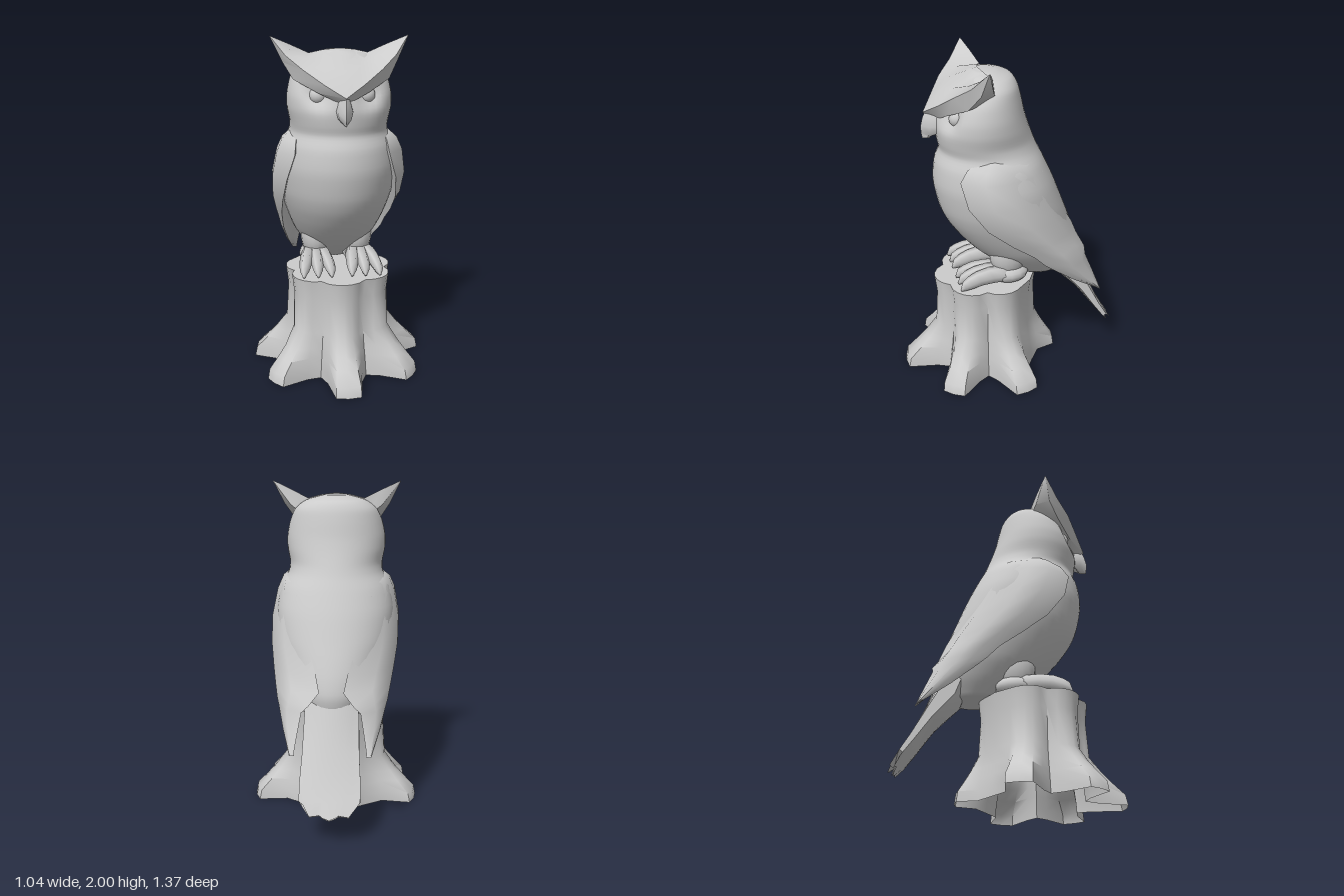
import * as THREE from 'three';
import { toCreasedNormals } from 'three/addons/utils/BufferGeometryUtils.js';

const material = new THREE.MeshStandardMaterial({ color: 0xcccccc, side: THREE.DoubleSide });

// Skin over a list of equal-length rings of [x, y, z]; faces always turn outward.
function loft(rings, { capStart = true, capEnd = true, crease = 0 } = {}) {
  const n = rings[0].length, pos = rings.flat(2), idx = [];
  for (let r = 0; r < rings.length - 1; r++) for (let i = 0; i < n; i++) {
    const a = r * n + i, b = r * n + (i + 1) % n;
    idx.push(a, b, b + n, a, b + n, a + n);
  }
  const cap = (r, flip) => {
    const c = pos.length / 3;
    for (let k = 0; k < 3; k++) pos.push(rings[r].reduce((s, p) => s + p[k], 0) / n);
    for (let i = 0; i < n; i++) {
      const a = r * n + i, b = r * n + (i + 1) % n;
      idx.push(c, flip ? b : a, flip ? a : b);
    }
  };
  if (capStart) cap(0, true);
  if (capEnd) cap(rings.length - 1, false);
  const P = i => new THREE.Vector3().fromArray(pos, i * 3);
  let volume = 0;
  for (let i = 0; i < idx.length; i += 3) volume += P(idx[i]).dot(P(idx[i + 1]).cross(P(idx[i + 2])));
  if (volume < 0) idx.reverse();
  const g = new THREE.BufferGeometry();
  g.setAttribute('position', new THREE.Float32BufferAttribute(pos, 3));
  g.setIndex(idx);
  if (crease) return toCreasedNormals(g, crease);
  g.computeVertexNormals();
  return g;
}

// Stump with six flared roots, open underneath
function stumpGeometry() {
  const roots = [[90, 0.53], [144, 0.51], [196, 0.525], [270, 0.45], [344, 0.525], [396, 0.51]]; // angle, reach
  const levels = [ // y, how far the root reaches (1 = full), trunk radius, valley radius
    [0, 1, 0.32, 0.3], [0.06, 0.94, 0.32, 0.295], [0.13, 0.6, 0.32, 0.285], [0.19, 0.34, 0.318, 0.275],
    [0.28, 0.05, 0.31, 0.265], [0.5, 0, 0.307, 0.265], [0.61, 0, 0.32, 0.28]];
  const rings = levels.map(([y, k, trunk, valley]) => {
    const ring = [];
    roots.forEach(([deg, reach], i) => {
      const a = THREE.MathUtils.degToRad(deg);
      const next = THREE.MathUtils.degToRad(roots[(i + 1) % 6][0] + (i === 5 ? 360 : 0));
      const tip = trunk + (reach - trunk) * k, flank = trunk - 0.012 + 0.25 * (tip - trunk);
      const gap = (next - a) / 2, v = valley + (gap - 0.47) * 0.15;
      for (const [d, r] of [[-0.29, flank], [-0.14, tip], [0, tip + 0.005], [0.14, tip], [0.29, flank], [gap, v]])
        ring.push([r * Math.cos(a + d), y, 0.15 + r * Math.sin(a + d)]);
    });
    return ring;
  });
  return loft(rings, { capStart: false, crease: 1.1 });
}

// Head and trunk as one smooth skin with hollowed eye sockets
function bodyGeometry() {
  const stations = [ // y, front z, back z, half width, z of widest point
    [0.61, -0.04, -0.34, 0.12, -0.2], [0.7, 0.1, -0.4, 0.19, -0.15], [0.8, 0.22, -0.42, 0.25, -0.1],
    [0.9, 0.31, -0.4, 0.29, -0.06], [1.0, 0.38, -0.365, 0.32, -0.02], [1.1, 0.425, -0.325, 0.345, 0],
    [1.25, 0.455, -0.265, 0.355, 0.04], [1.38, 0.445, -0.205, 0.33, 0.08], [1.46, 0.415, -0.165, 0.29, 0.12],
    [1.52, 0.425, -0.14, 0.285, 0.16], [1.6, 0.435, -0.11, 0.3, 0.17], [1.68, 0.425, -0.085, 0.3, 0.17],
    [1.77, 0.375, -0.065, 0.28, 0.16], [1.84, 0.31, -0.045, 0.245, 0.13], [1.89, 0.25, -0.01, 0.18, 0.12],
    [1.92, 0.2, 0.08, 0.07, 0.14]];
  const curve = f => new THREE.CatmullRomCurve3(stations.map(f), false, 'catmullrom', 0.4);
  const c1 = curve(s => new THREE.Vector3(s[0], s[1], s[2]));
  const c2 = curve(s => new THREE.Vector3(s[3], s[4], 0));
  const rings = [];
  for (let j = 0; j <= 60; j++) {
    const { x: y, y: zf, z: zb } = c1.getPoint(j / 60), { x: w, y: zc } = c2.getPoint(j / 60);
    const ring = [];
    for (let i = 0; i < 48; i++) {
      const a = i / 48 * Math.PI * 2, s = Math.sin(a), x = w * Math.cos(a);
      let z = zc + s * (s > 0 ? zf - zc : zc - zb);
      if (s > 0) z -= 0.06 * Math.exp(-((Math.abs(x) - 0.14) ** 2 + (y - 1.69) ** 2) / 0.004);
      ring.push([x, y, z]);
    }
    rings.push(ring);
  }
  return loft(rings);
}

// Folded wing: lens-shaped slices from shoulder down to the pointed tip
function wingGeometry(s) {
  const slices = [ // y, front z, front x, outer x, back z, back x
    [1.46, 0.22, 0.25, 0.29, 0.0, 0.22], [1.42, 0.3, 0.26, 0.335, -0.08, 0.24], [1.35, 0.345, 0.27, 0.365, -0.15, 0.22],
    [1.2, 0.31, 0.315, 0.392, -0.24, 0.17], [1.05, 0.2, 0.335, 0.388, -0.315, 0.13], [0.93, 0.05, 0.335, 0.365, -0.385, 0.09],
    [0.84, -0.08, 0.325, 0.345, -0.425, 0.07], [0.77, -0.15, 0.315, 0.33, -0.46, 0.13], [0.73, -0.2, 0.305, 0.318, -0.455, 0.17],
    [0.62, -0.35, 0.275, 0.285, -0.5, 0.19], [0.5, -0.54, 0.235, 0.235, -0.545, 0.225]];
  return loft(slices.map(([y, zf, xf, xo, zb, xb]) => {
    const at = t => zf + (zb - zf) * t, mid = (xf + xb) / 2;
    return [[xf, zf], [xo, at(0.25)], [xo - 0.005, at(0.5)], [xo * 0.6 + xb * 0.4, at(0.82)], [xb, zb],
      [mid - 0.02, at(0.75)], [xf - 0.03, at(0.3)]].map(([x, z]) => [s * x, y, z]);
  }), { crease: 1.1 });
}

// Tail: flattened fan whose feather ends are scalloped
function tailGeometry() {
  const rows = [ // y, z, half width, half thickness
    [0.85, -0.28, 0.15, 0.09], [0.63, -0.36, 0.16, 0.09], [0.48, -0.465, 0.165, 0.052],
    [0.34, -0.55, 0.175, 0.034], [0.25, -0.61, 0.175, 0.025], [0.18, -0.66, 0.15, 0.018]];
  const notch = [-0.07, 0, -0.025, 0.005, 0.02, 0.005, -0.025, 0, -0.07];
  return loft(rows.map(([y, z, w, t], r) => {
    const side = k => notch.map((d, i) => {
      const u = i / 4 - 1, e = r === rows.length - 1 ? d : 0, h = k * t * (1 - 0.5 * u * u);
      return [u * w, y + h * 0.55 - e * 0.8, z - h * 0.83 - e * 0.55];
    });
    return [...side(1), ...side(-1).reverse()];
  }), { crease: 0.9 });
}

// Forehead shield with V-shaped brow running out into two pointed ear tufts
function browGeometry() {
  const half = [ // brow ridge, lower edge, inner edge, upper back edge, forehead
    [[0.39, 2.0, 0.2], [0.39, 1.995, 0.2], [0.388, 1.995, 0.195], [0.388, 2.0, 0.195], [0.389, 2.0, 0.198]],
    [[0.31, 1.9, 0.28], [0.325, 1.86, 0.23], [0.28, 1.86, 0.15], [0.275, 1.95, 0.16], [0.295, 1.935, 0.23]],
    [[0.22, 1.83, 0.365], [0.27, 1.77, 0.29], [0.2, 1.8, 0.12], [0.17, 1.9, 0.13], [0.195, 1.885, 0.27]],
    [[0.11, 1.755, 0.435], [0.14, 1.705, 0.385], [0.1, 1.75, 0.2], [0.09, 1.92, 0.16], [0.1, 1.85, 0.345]]];
  const centre = [[0, 1.69, 0.5], [0, 1.64, 0.43], [0, 1.72, 0.25], [0, 1.93, 0.18], [0, 1.82, 0.39]];
  const flip = ring => ring.map(([x, y, z]) => [-x, y, z]);
  return loft([...half, centre, ...half.map(flip).reverse()], { crease: 0.9 });
}

// Hooked beak, slices from root to tip
function beakGeometry() {
  return loft([[1.7, 0.4, 0.485, 0.015], [1.66, 0.4, 0.502, 0.03], [1.61, 0.4, 0.515, 0.042],
    [1.57, 0.42, 0.514, 0.032], [1.535, 0.485, 0.508, 0.004]].map(([y, zb, zf, w]) =>
    [[0, y, zf], [w, y, zf - 0.045], [w * 1.2, y, zb], [-w * 1.2, y, zb], [-w, y, zf - 0.045]]), { crease: 0.9 });
}

// One toe: six-sided slices curving over the knuckle down to the claw
function toeGeometry(x0, x1) {
  return loft([[0.67, 0.04, 0.055], [0.68, 0.15, 0.052], [0.675, 0.23, 0.046], [0.66, 0.285, 0.04],
    [0.645, 0.325, 0.03], [0.62, 0.35, 0.008]].map(([y, z, r]) => {
    const cx = x0 + (x1 - x0) * (z - 0.04) / 0.31;
    return Array.from({ length: 6 }, (_, i) => {
      const a = i * Math.PI / 3;
      return [cx + 0.85 * r * Math.cos(a), y + r * Math.sin(a), z + r * 0.4 * Math.sin(a)];
    });
  }));
}

export function createModel() {
  const model = new THREE.Group();
  const add = (name, geometry, parent = model) => {
    const mesh = new THREE.Mesh(geometry, material);
    mesh.name = name;
    parent.add(mesh);
    return mesh;
  };
  add('stump', stumpGeometry());
  add('body', bodyGeometry());
  add('tail', tailGeometry());
  add('browAndEarTufts', browGeometry());
  add('beak', beakGeometry());

  for (const [side, s] of [['left', 1], ['right', -1]]) {
    add(side + 'Wing', wingGeometry(s));
    const eye = add(side + 'Eye', new THREE.SphereGeometry(0.05, 16, 12));
    eye.position.set(s * 0.135, 1.685, 0.325);
    // Feathered leg and three front toes
    const leg = add(side + 'Leg', new THREE.SphereGeometry(1, 20, 14));
    leg.scale.set(0.095, 0.16, 0.12);
    leg.position.set(s * 0.125, 0.79, 0.03);
    const foot = new THREE.Group();
    foot.name = side + 'Foot';
    model.add(foot);
    for (const [x0, x1] of [[0.1, 0.06], [0.135, 0.14], [0.17, 0.225]])
      add('toe', toeGeometry(s * x0, s * x1), foot);
    const heel = add('heel', new THREE.SphereGeometry(1, 14, 10), foot);
    heel.scale.set(0.095, 0.065, 0.12);
    heel.position.set(s * 0.135, 0.66, 0.03);
  }
  return model;
}
